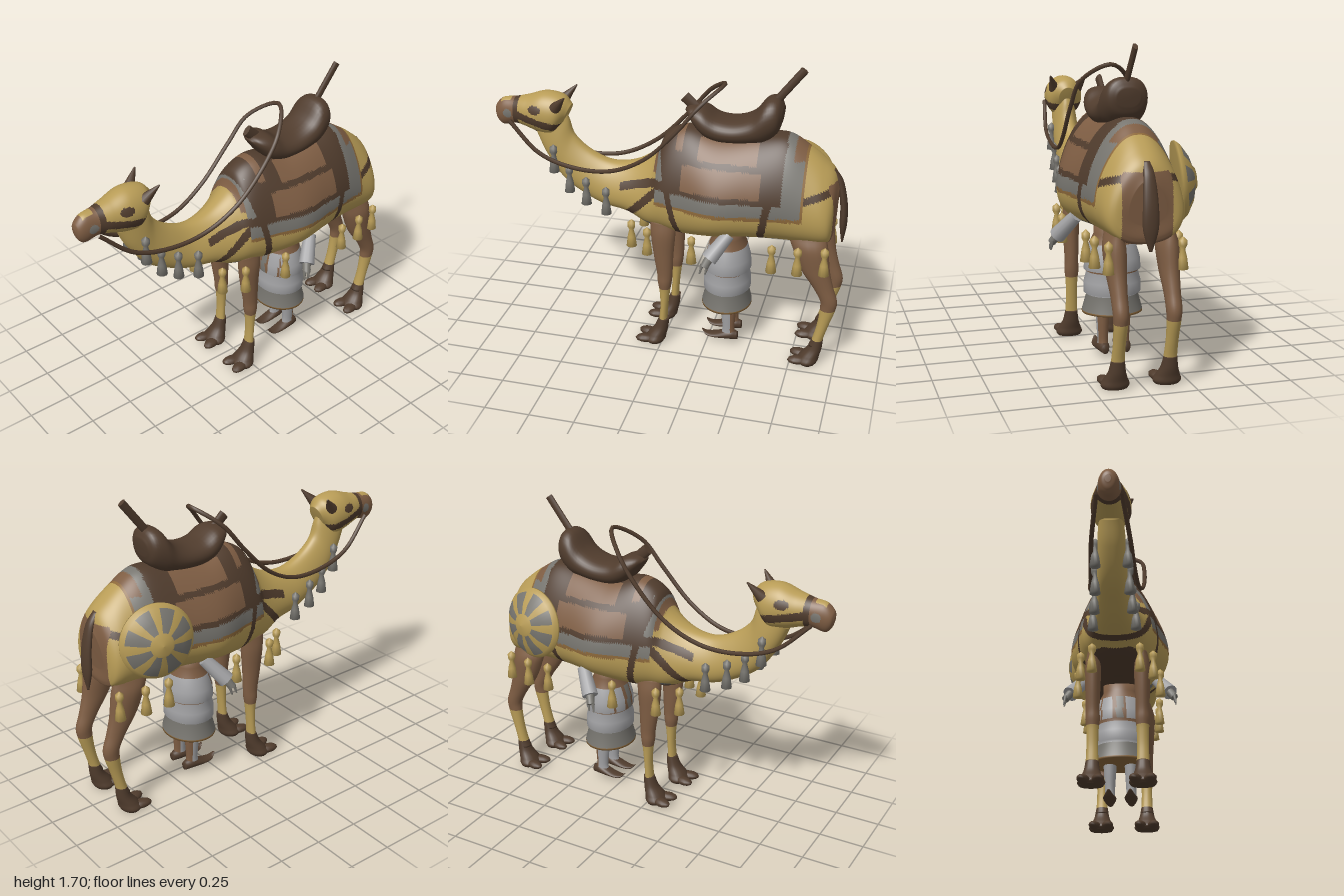
import * as THREE from 'three';

const flat = (name, color) => {
  const m = new THREE.MeshStandardMaterial({ color });
  m.name = name;
  return m;
};
const OCHRE = 0, DARK = 1, BROWN = 2, GREY = 3, LIGHT = 4, TAN = 5;
const MATS = [
  flat('ochre', 0xb89c56), flat('dark brown', 0x503c2d), flat('mid brown', 0x7e5d43),
  flat('grey cloth', 0x77756f), flat('light cloth', 0xa2a2a4), flat('tan border', 0x8c683a),
];

// Mesh in one colour (number) or painted per face by a rule (x, y, z) => colour
function part(name, geo, paint) {
  if (typeof paint === 'number') {
    const m = new THREE.Mesh(geo, MATS[paint]);
    m.name = name;
    return m;
  }
  const p = geo.attributes.position, old = geo.index.array, buckets = MATS.map(() => []);
  for (let i = 0; i < old.length; i += 3) {
    const t = [old[i], old[i + 1], old[i + 2]];
    const mid = get => (get(t[0]) + get(t[1]) + get(t[2])) / 3;
    buckets[paint(mid(v => p.getX(v)), mid(v => p.getY(v)), mid(v => p.getZ(v)))].push(...t);
  }
  geo.setIndex(buckets.flat());
  geo.clearGroups();
  let start = 0;
  buckets.forEach((b, c) => {
    if (b.length) geo.addGroup(start, b.length, c);
    start += b.length;
  });
  const m = new THREE.Mesh(geo, MATS);
  m.name = name;
  return m;
}

// Smooth skin through sections [z1, y1, z2, y2, halfWidth]; k: pear shape, e below 1: boxier
function loft(sections, rings = 24, segs = 20, k = 0, e = 1) {
  const A = new THREE.CatmullRomCurve3(sections.map(s => new THREE.Vector3(s[4], s[1], s[0])), false, 'catmullrom');
  const B = new THREE.CatmullRomCurve3(sections.map(s => new THREE.Vector3(0, s[3], s[2])), false, 'catmullrom');
  const pos = [], idx = [];
  for (let i = 0; i <= rings; i++) {
    const a = A.getPoint(i / rings), b = B.getPoint(i / rings);
    for (let j = 0; j < segs; j++) {
      const t = j / segs * Math.PI * 2, c = Math.cos(t), s = Math.sin(t);
      pos.push(a.x * Math.sign(s) * Math.abs(s) ** e * (1 - k * c),
        (a.y + b.y) / 2 + (a.y - b.y) / 2 * c, (a.z + b.z) / 2 + (a.z - b.z) / 2 * c);
    }
  }
  for (let i = 0; i < rings; i++) for (let j = 0; j < segs; j++) {
    const n = (j + 1) % segs, p = i * segs, q = p + segs;
    idx.push(p + j, q + j, p + n, q + j, q + n, p + n);
  }
  const c0 = pos.length / 3, last = rings * segs;
  for (const s of [sections[0], sections.at(-1)]) pos.push(0, (s[1] + s[3]) / 2, (s[0] + s[2]) / 2);
  for (let j = 0; j < segs; j++) {
    const n = (j + 1) % segs;
    idx.push(c0, j, n, c0 + 1, last + n, last + j);
  }
  const g = new THREE.BufferGeometry();
  g.setAttribute('position', new THREE.Float32BufferAttribute(pos, 3));
  g.setIndex(idx);
  g.computeVertexNormals();
  return g;
}
// Upright limb, top to bottom, from [zFront, y, zBack, halfWidth]
const limb = (rows, dz = 0) => loft(rows.map(([f, y, b, w]) => [f + dz, y, b + dz, y, w]), 48, 16);
const lathe = (pts, segs) => new THREE.LatheGeometry(pts.map(p => new THREE.Vector2(...p)), segs);
const UP = new THREE.Vector3(0, 1, 0);

function rod(name, a, b, r1, r2, color, thin = 1) {
  const p = new THREE.Vector3(...a), d = new THREE.Vector3(...b).sub(p);
  const m = part(name, new THREE.CylinderGeometry(r2, r1, d.length(), 12), color);
  m.position.copy(p).addScaledVector(d, 0.5);
  m.quaternion.setFromUnitVectors(UP, d.normalize());
  m.scale.x = thin;
  return m;
}

// Blanket, straps and trim on the body
function bodyPaint(x, y, z) {
  const ax = Math.abs(x);
  if (z < -0.9 && ax < 0.13 && y < 1.1) return BROWN;
  if (z < 0.15 && (y < 0.725 || (y < 0.76 && ax < 0.15))) return DARK;
  if (y < 0.775 && ((z > -0.02 && z < 0.12) || (z > -0.65 && z < -0.4))) return GREY;
  if (y < 1.3 && z < 0.03 && Math.abs(z + (1.2 - y) * 0.22) < 0.018) return DARK;
  if (y < 1.3 && Math.abs(z + 0.65 - (1.28 - y) * 0.19) < 0.02) return DARK;
  if (z > -0.78 && z < 0.03 && y > 0.91) {
    if (y < 0.93 || z < -0.768) return TAN;
    if (y < 1.0) return GREY;
    if (z < -0.665) return y < 1.22 || z > -0.71 ? GREY : BROWN;
    if (z > -0.01 && y > 1.05 && y < 1.25) return GREY;
    if (y > 1.03 && y < 1.16 && z > -0.55 && z < -0.12) return BROWN;
    if (y > 1.19 && y < 1.29 && z > -0.52 && z < -0.2) return BROWN;
    return y > 1.22 && z > -0.11 && z < -0.07 ? BROWN : DARK;
  }
  if (z < -0.78 && Math.abs(y - 1.05 + (z + 0.85) * 0.3) < 0.02) return DARK;
  if (z > 0.03 && z < 0.25) {
    if (z < 0.05 && y > 1.08) return BROWN;
    if (Math.abs(y - 1.03 + (z - 0.03) * 0.35) < 0.022) return DARK;
    if (Math.abs(y - 0.98 + (z - 0.03) * 1.05) < 0.03) return DARK;
  }
  return OCHRE;
}

// Bridle, eyes and muzzle
function headPaint(x, y, z) {
  if (Math.hypot(z - 0.915, y - 1.3) < 0.026 && Math.abs(x) > 0.03) return GREY;
  if (z > 0.9 && z < 0.96 && y > 1.35 && Math.abs(x) < 0.028) return OCHRE;
  if (z > 0.88) return BROWN;
  if (z > 0.85) return DARK;
  if (z > 0.58 && Math.abs(y - 1.24 - (z - 0.58) * 0.23) < 0.024) return DARK;
  if (Math.hypot((z - 0.74) / 1.6, y - 1.35) < 0.024) return DARK;
  return OCHRE;
}

// Tiers of the skirt, with an edged panel at the front
function skirtPaint(x, y, z) {
  if (y < 0.262) return TAN;
  if (y < 0.34) return GREY;
  if (y > 0.64 || (y > 0.474 && y < 0.486)) return BROWN;
  const ax = Math.abs(x);
  if (y > 0.48 && z > 0 && ax < 0.11) return ax < 0.02 ? GREY : ax < 0.04 || ax > 0.1 ? BROWN : LIGHT;
  return LIGHT;
}

export function createModel() {
  const g = new THREE.Group();
  g.name = 'saddledCamel';

  g.add(part('bodyAndNeck', loft([
    [-0.95, 1.06, -0.93, 0.84, 0.09], [-0.92, 1.14, -0.93, 0.77, 0.16], [-0.86, 1.2, -0.9, 0.74, 0.195],
    [-0.78, 1.26, -0.78, 0.735, 0.21], [-0.66, 1.325, -0.66, 0.735, 0.225], [-0.5, 1.315, -0.5, 0.735, 0.25],
    [-0.3, 1.295, -0.3, 0.72, 0.275], [-0.12, 1.32, -0.12, 0.7, 0.23], [0, 1.27, 0, 0.715, 0.2],
    [0.06, 1.16, 0.1, 0.73, 0.17], [0.18, 1.08, 0.22, 0.78, 0.13], [0.32, 1.06, 0.36, 0.8, 0.1],
    [0.45, 1.11, 0.48, 0.85, 0.085], [0.54, 1.19, 0.6, 0.93, 0.075], [0.57, 1.28, 0.7, 1.07, 0.07],
    [0.6, 1.36, 0.76, 1.2, 0.06]], 255, 120, 0.29, 0.85), bodyPaint));

  g.add(part('head', loft([
    [0.55, 1.37, 0.6, 1.26, 0.05], [0.6, 1.42, 0.66, 1.19, 0.1], [0.7, 1.435, 0.74, 1.195, 0.105],
    [0.8, 1.405, 0.82, 1.22, 0.085], [0.88, 1.385, 0.88, 1.23, 0.063], [0.95, 1.375, 0.95, 1.215, 0.052],
    [0.99, 1.34, 0.98, 1.235, 0.038], [1.0, 1.31, 0.995, 1.27, 0.015]], 112, 72), headPaint));

  g.add(part('tail', limb([[-0.88, 1.15, -0.92, 0.02], [-0.93, 1.08, -0.965, 0.03], [-0.955, 0.95, -0.995, 0.04],
    [-0.96, 0.83, -1.0, 0.04], [-0.975, 0.72, -0.985, 0.008]]), DARK));

  // Saddle with pommel and back post
  g.add(part('saddle', loft([
    [-0.63, 1.47, -0.62, 1.38, 0.06], [-0.6, 1.52, -0.6, 1.33, 0.105], [-0.54, 1.515, -0.54, 1.28, 0.125],
    [-0.47, 1.43, -0.48, 1.27, 0.125], [-0.38, 1.39, -0.38, 1.26, 0.125], [-0.28, 1.395, -0.28, 1.26, 0.12],
    [-0.2, 1.44, -0.2, 1.29, 0.115], [-0.13, 1.44, -0.14, 1.36, 0.08], [-0.1, 1.42, -0.11, 1.4, 0.03]], 40, 32, 0, 0.75), DARK));
  g.add(rod('pommel', [0, 1.39, -0.19], [0, 1.48, -0.09], 0.03, 0.032, DARK, 0.5));
  g.add(rod('saddlePost', [0, 1.47, -0.56], [0, 1.685, -0.725], 0.022, 0.022, DARK, 0.6));

  // Reins run from the muzzle and loop above the saddle
  const half = [[0.065, 1.26, 0.9], [0.1, 1.1, 0.72], [0.115, 1.04, 0.52], [0.13, 1.05, 0.3],
    [0.15, 1.15, 0.1], [0.155, 1.33, -0.08], [0.13, 1.48, -0.2]];
  const path = [...half, [0, 1.57, -0.31], ...half.map(([x, y, z]) => [-x, y, z]).reverse()];
  g.add(part('reins', new THREE.TubeGeometry(
    new THREE.CatmullRomCurve3(path.map(p => new THREE.Vector3(...p))), 100, 0.012, 6), DARK));

  // Shield on the right flank
  const shield = part('shield', lathe([[0, 0], [0.2, 0], [0.202, 0.012], [0.182, 0.035], [0.12, 0.072],
    [0.065, 0.088], [0.05, 0.1], [0, 0.108]], 40), (x, y, z) => {
    const r = Math.hypot(x, z), s = (Math.atan2(x, z) / Math.PI * 4 + 8) % 1;
    return r > 0.07 && r < 0.18 && y > 0.03 && s < 0.6 ? GREY : OCHRE;
  });
  shield.position.set(-0.228, 1.01, -0.7);
  shield.quaternion.setFromUnitVectors(UP, new THREE.Vector3(-0.97, 0.11, -0.21).normalize());
  g.add(shield);

  // Skirt of the attendant under the belly
  const skirt = part('skirt', lathe([[0, 0.25], [0.165, 0.25], [0.165, 0.262], [0.14, 0.35], [0.155, 0.36],
    [0.155, 0.42], [0.14, 0.475], [0.155, 0.487], [0.15, 0.55], [0.125, 0.63], [0.1, 0.68], [0.1, 0.76], [0, 0.76]], 72), skirtPaint);
  skirt.scale.z = 0.86;
  skirt.position.z = -0.35;
  g.add(skirt);

  const legPaint = (x, y) => y > 0.36 ? BROWN : y > 0.16 ? OCHRE : DARK;
  const bell = [[0, 0], [0.03, 0], [0.022, 0.06], [0.012, 0.1], [0.022, 0.12], [0.022, 0.145], [0, 0.165]];
  for (const s of [1, -1]) {
    const legs = {
      frontLeg: limb([[0.07, 0.79, -0.08, 0.03], [0.065, 0.7, -0.075, 0.045], [0.05, 0.58, -0.065, 0.042],
        [0.03, 0.46, -0.06, 0.038], [0.025, 0.4, -0.055, 0.04], [0.015, 0.34, -0.045, 0.034],
        [0.01, 0.25, -0.035, 0.032], [0.015, 0.17, -0.03, 0.034], [0.02, 0.12, -0.03, 0.038]]),
      hindLeg: limb([[-0.7, 0.8, -0.91, 0.03], [-0.73, 0.72, -0.925, 0.055], [-0.78, 0.6, -0.94, 0.05],
        [-0.85, 0.5, -0.965, 0.042], [-0.895, 0.42, -0.99, 0.04], [-0.9, 0.36, -0.985, 0.036],
        [-0.89, 0.26, -0.955, 0.032], [-0.87, 0.17, -0.93, 0.034], [-0.85, 0.12, -0.925, 0.038]]),
    };
    for (const [name, geo] of Object.entries(legs)) {
      const z0 = name === 'frontLeg' ? -0.01 : -0.9;
      const leg = new THREE.Group();
      leg.name = name;
      leg.position.x = s * 0.137;
      leg.add(part(name + 'Shaft', geo, legPaint));
      leg.add(part('foot', limb([[0.03, 0.16, -0.03, 0.035], [0.055, 0.1, -0.025, 0.045], [0.09, 0.055, -0.015, 0.062],
        [0.11, 0.025, -0.01, 0.075], [0.1, 0.006, 0, 0.066]], z0), DARK));
      for (const t of [1, -1]) {
        const toe = part('toe', new THREE.SphereGeometry(1, 12, 8), DARK);
        toe.scale.set(0.034, 0.024, 0.06);
        toe.position.set(t * 0.038, 0.027, z0 + 0.1);
        toe.rotation.y = t * 0.2;
        leg.add(toe);
      }
      g.add(leg);
    }

    g.add(rod('ear', [s * 0.07, 1.365, 0.625], [s * 0.11, 1.445, 0.555], 0.034, 0.004, DARK));

    // Ochre tassels round the cloth hem, grey ones along the neck
    for (const [x, z] of [[0.13, 0.18], [0.2, 0.07], [0.235, -0.19], [0.225, -0.63], [0.22, -0.77], [0.19, -0.91]]) {
      const t = part('hemTassel', lathe(bell, 10), OCHRE);
      t.position.set(s * x, 0.605, z);
      g.add(t);
    }
    for (const [x, y, z] of [[0.085, 0.99, 0.64], [0.09, 0.88, 0.55], [0.1, 0.82, 0.45], [0.115, 0.78, 0.33]]) {
      const t = part('neckTassel', lathe(bell, 10), GREY);
      t.position.set(s * x, y, z);
      g.add(t);
    }

    // Attendant's legs, shoes, sleeves and hands
    const shin = part('attendantLeg', limb([[-0.32, 0.3, -0.42, 0.04], [-0.33, 0.2, -0.415, 0.034],
      [-0.34, 0.1, -0.41, 0.028], [-0.33, 0.05, -0.42, 0.03]]), (x, y, z) => z > -0.385 ? LIGHT : BROWN);
    const shoe = part('shoe', loft([[-0.43, 0.08, -0.43, 0.03, 0.02], [-0.38, 0.09, -0.38, 0.03, 0.035],
      [-0.3, 0.06, -0.3, 0.03, 0.035], [-0.25, 0.055, -0.25, 0.035, 0.025], [-0.22, 0.07, -0.225, 0.06, 0.008]]), DARK);
    shin.position.x = shoe.position.x = s * 0.06;
    g.add(shin, shoe);
    g.add(rod('sleeve', [s * 0.21, 0.79, -0.39], [s * 0.29, 0.67, -0.3], 0.035, 0.045, LIGHT));
    g.add(rod('hand', [s * 0.285, 0.68, -0.305], [s * 0.315, 0.63, -0.28], 0.025, 0.022, GREY));
    for (const f of [-0.015, 0.015])
      g.add(rod('finger', [s * 0.312, 0.645, -0.285 + f], [s * 0.322, 0.59, -0.272 + f], 0.011, 0.004, GREY));
  }
  return g;
}
